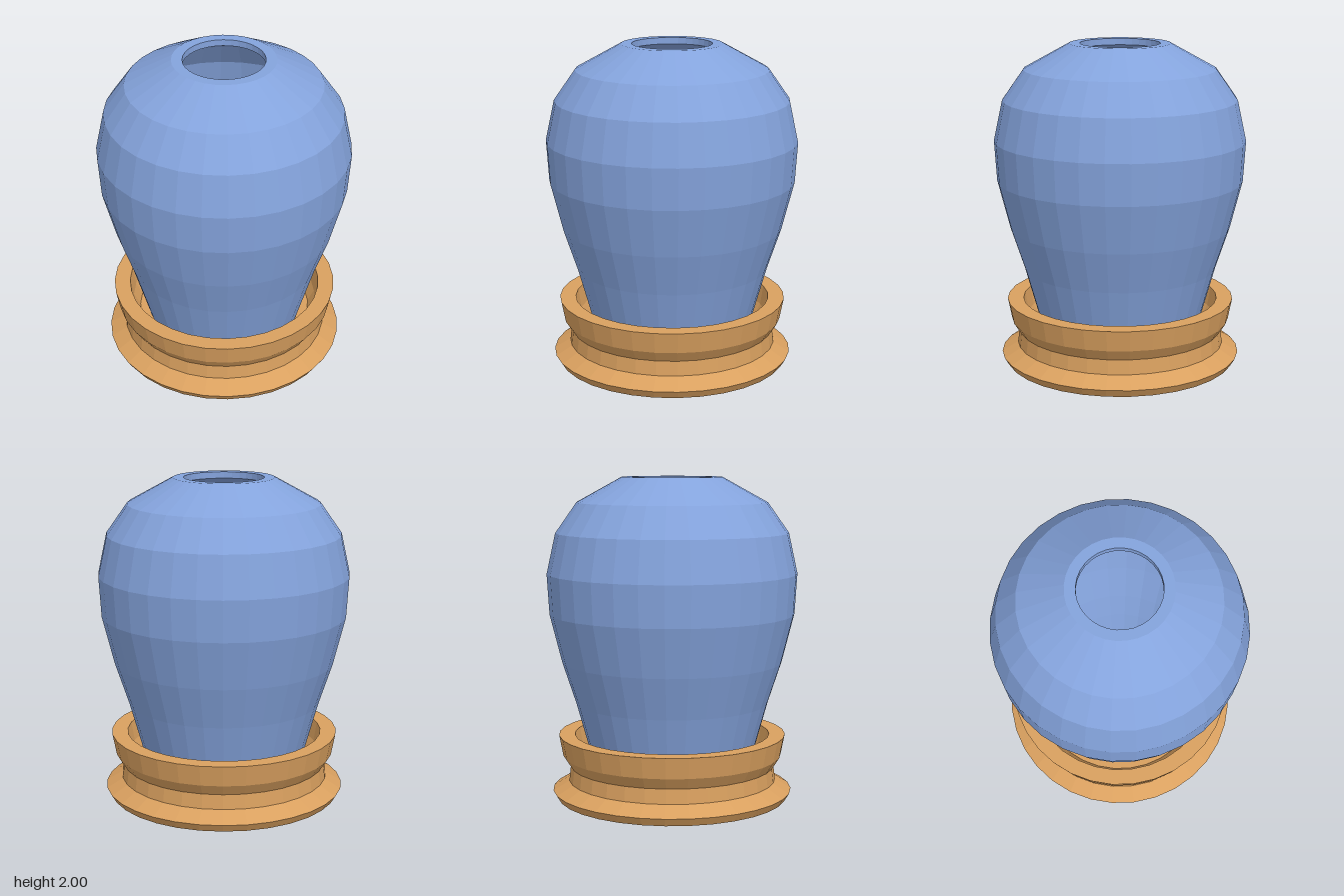
import * as THREE from 'three';

const SIDES = 32;

// Turns a closed outline (radius, height), listed anticlockwise, into a faceted part.
function turned(name, outline, color) {
  const points = outline.map(([r, y]) => new THREE.Vector2(r, y));
  const material = new THREE.MeshStandardMaterial({ color });
  material.flatShading = true;
  const mesh = new THREE.Mesh(new THREE.LatheGeometry(points, SIDES), material);
  mesh.name = name;
  return mesh;
}

export function createModel() {
  const group = new THREE.Group();
  group.name = 'jarOnStand';

  // Stand: hollow underside, flared foot, waist, cupped rim, floor
  group.add(turned('stand', [
    [0, 0.14], [0.24, 0.14], [0.56, 0.15], [0.57, 0.11], [0.6, 0.05], [0.62, 0],
    [0.72, 0], [0.75, 0.05], [0.65, 0.11], [0.64, 0.2], [0.685, 0.27], [0.71, 0.4],
    [0.61, 0.4], [0.59, 0.28], [0.55, 0.2], [0.24, 0.19], [0, 0.19],
  ], 0xd9a05f));

  // Jar: outer wall from foot to mouth, then the inner wall back down; open at both ends
  const outer = [
    [0.49, 0.2], [0.545, 0.4], [0.6, 0.6], [0.685, 0.86], [0.76, 1.16],
    [0.775, 1.41], [0.72, 1.66], [0.59, 1.845], [0.31, 2],
  ];
  const inner = [
    [0.245, 2], [0.245, 1.96], [0.54, 1.8], [0.66, 1.63], [0.71, 1.41],
    [0.7, 1.17], [0.62, 0.87], [0.535, 0.6], [0.48, 0.4], [0.43, 0.2],
  ];
  group.add(turned('jar', [...outer, ...inner, outer[0]], 0x84a3dc));

  return group;
}
